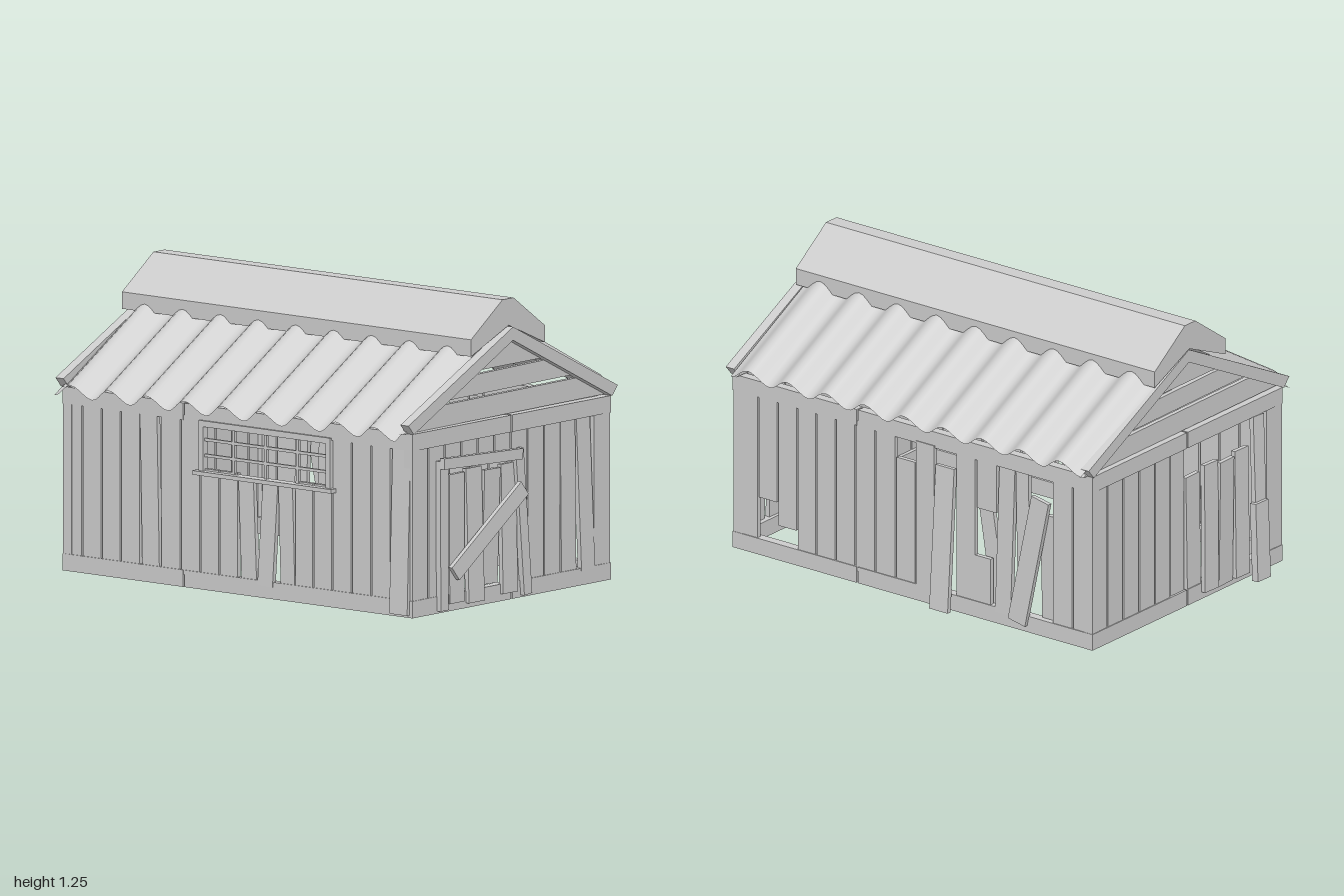
import * as THREE from 'three';

const mat = new THREE.MeshStandardMaterial({ color: 0xcccccc, flatShading: true });
const sheetMat = new THREE.MeshStandardMaterial({ color: 0xcccccc, side: THREE.DoubleSide });

function add(parent, name, geo, material = mat) {
  const m = new THREE.Mesh(geo, material);
  m.name = name;
  parent.add(m);
  return m;
}

// Plank in a wall's own frame: u along the wall, y up, outward is +z.
// tilt turns it in the wall plane, lean swings its foot outward.
function plank(wall, name, [u0, u1, y0, y1, tilt = 0, lean = 0, out = 0], thick = 0.02) {
  const m = add(wall, name, new THREE.BoxGeometry(u1 - u0, y1 - y0, thick));
  m.position.set((u0 + u1) / 2, (y0 + y1) / 2, out - thick / 2);
  m.rotation.set(-lean, 0, tilt);
  return m;
}

// Flat polygon given thickness along z
function slab(parent, name, pts, z0, z1) {
  const shape = new THREE.Shape(pts.map(p => new THREE.Vector2(...p)));
  const geo = new THREE.ExtrudeGeometry(shape, { depth: z1 - z0, bevelEnabled: false });
  geo.translate(0, 0, z0);
  return add(parent, name, geo);
}

// Wall with top and base rails, each split at u = split, and a list of planks
function makeWall(name, half, offset, angle, split, boards) {
  const wall = new THREE.Group();
  wall.name = name;
  wall.rotation.y = angle;
  wall.position.set(Math.sin(angle) * offset, 0, Math.cos(angle) * offset);
  for (const [a, b] of [[-half, split - 0.004], [split + 0.004, half]]) {
    plank(wall, 'baseRail', [a, b, 0.02, 0.09], 0.04);
    plank(wall, 'topRail', [a, b, 0.71, 0.78], 0.04);
  }
  for (const b of boards) plank(wall, 'wallBoard', b);
  return wall;
}

// Sound boards side by side between two positions
function row(u0, u1, n, y0 = 0.07, y1 = 0.73) {
  const w = (u1 - u0) / n;
  return Array.from({ length: n }, (_, i) =>
    [u0 + i * w + 0.004, u0 + (i + 1) * w - 0.004, y0, y1, 0, 0, -0.004]);
}

// Corrugated sheet running from near the ridge down to the eave
function roofSheet(side, x0, y0, x1, y1) {
  const n = 9, z0 = 0.89, z1 = -0.92;
  const geo = new THREE.PlaneGeometry(1, 1, 1, n * 10);
  const p = geo.attributes.position;
  for (let i = 0; i < p.count; i++) {
    const t = p.getX(i) + 0.5, v = 0.5 - p.getY(i);
    const wave = 0.026 * (-1 - Math.cos(v * n * Math.PI * 2));
    p.setXYZ(i, side * (x0 + (x1 - x0) * t + wave * 0.3),
      y0 + (y1 - y0) * t + wave, z0 + (z1 - z0) * v);
  }
  geo.computeVertexNormals();
  return geo;
}

export function createModel() {
  const g = new THREE.Group();
  g.name = 'shed';

  // Front wall with a doorway between x = -0.42 and 0
  const front = makeWall('frontWall', 0.628, 0.93, 0, 0, [
    ...row(-0.63, -0.42, 2), ...row(-0.42, 0, 4, 0.63, 0.73),
    ...row(0, 0.315, 3),
    [0.318, 0.412, 0.07, 0.73, 0.012, 0, -0.004],
    [0.432, 0.518, 0.08, 0.73, 0.03, 0.02, -0.004],
    ...row(0.525, 0.63, 1),
  ]);
  // Door planks, frame and the loose diagonal board
  for (const b of [
    [-0.4, -0.305, 0.05, 0.585, 0.004, 0, 0.005], [-0.29, -0.19, 0.04, 0.595, 0, 0.03, 0.008],
    [-0.18, -0.08, 0.1, 0.575, -0.015, -0.02, 0], [-0.07, 0.024, 0.05, 0.585, 0, 0.02, 0.008],
  ]) plank(front, 'doorPlank', b);
  plank(front, 'doorJamb', [-0.475, -0.425, 0.03, 0.65, 0.005, 0, 0.02], 0.025);
  plank(front, 'doorJamb', [0.03, 0.08, 0.03, 0.64, 0.09, 0, 0.02], 0.025);
  plank(front, 'doorLintel', [-0.48, 0.02, 0.61, 0.655, -0.04, 0, 0.045], 0.025);
  const brace = plank(front, 'doorBrace', [-0.44, 0.065, 0.295, 0.365, 0, 0, 0.045], 0.02);
  brace.rotation.set(0, -0.09, 0.66, 'YXZ');

  // Back wall (u = -x) with broken tops and one open bay
  const back = makeWall('backWall', 0.628, 0.93, Math.PI, 0, [
    ...row(-0.63, -0.105, 5),
    [-0.1, -0.01, 0.07, 0.73, 0, 0, -0.01],
    [0.0, 0.09, 0.07, 0.58, 0.02, 0, -0.004],
    [0.1, 0.19, 0.05, 0.6, -0.03, 0.03, 0.012],
    [0.2, 0.29, 0.04, 0.59, 0.02, -0.03, 0.012],
    [0.3, 0.39, 0.05, 0.6, -0.02, 0.03, 0.015],
    ...row(0.525, 0.63, 1),
  ]);
  plank(back, 'fallenPlank', [0.39, 0.475, 0.015, 0.35, -0.02, 0.05, 0.055], 0.03);
  plank(back, 'fallenPlank', [0.42, 0.49, 0.28, 0.71, -0.06, 0.08, 0.02], 0.02);

  // Left wall (u = -z), badly broken towards the back
  const left = makeWall('leftWall', 0.93, 0.63, Math.PI / 2, -0.285, [
    ...row(-0.93, -0.8, 1), [-0.796, -0.704, 0.27, 0.73, 0, 0, -0.004],
    [-0.696, -0.604, 0.17, 0.73, 0, 0, -0.004], ...row(-0.6, -0.3, 3),
    ...row(-0.3, -0.09, 2),
    [-0.085, 0.01, 0.07, 0.62, 0, 0, -0.004],
    [0.02, 0.115, 0.08, 0.72, 0, 0, 0.004],
    [0.12, 0.215, 0.02, 0.64, 0, 0.07, 0.022],
    ...row(0.22, 0.325, 1),
    [0.33, 0.43, 0.5, 0.73, 0, 0, -0.004], [0.31, 0.4, 0.07, 0.29, 0, 0, -0.004],
    [0.35, 0.42, 0.08, 0.57, 0.16, 0, -0.03],
    [0.435, 0.515, 0.07, 0.73, -0.02, 0.02, -0.004],
    [0.53, 0.595, 0.25, 0.73, 0.02, 0, -0.01],
    [0.56, 0.65, 0.05, 0.62, -0.2, 0.02, 0.01],
    [0.65, 0.715, 0.07, 0.55, 0, -0.03, -0.02],
    ...row(0.72, 0.93, 2),
  ]);

  // Right wall (u = z) with the barred window
  const right = makeWall('rightWall', 0.93, 0.63, -Math.PI / 2, -0.285, [
    ...row(-0.93, -0.52, 4), [-0.515, -0.425, 0.07, 0.73, 0.02, 0, -0.004],
    ...row(-0.41, -0.2, 2), ...row(-0.2, 0, 2, 0.07, 0.52),
    [0.01, 0.09, 0.07, 0.5, 0.04, 0, -0.004], [0.12, 0.2, 0.07, 0.5, -0.05, 0.02, 0],
    [0.22, 0.295, 0.07, 0.5, 0.03, 0, -0.004],
    ...row(0.3, 0.5, 2, 0.07, 0.52), ...row(0.5, 0.81, 3),
    [0.82, 0.915, 0.03, 0.71, 0, 0.03, 0.006],
  ]);
  const win = new THREE.Group();
  win.name = 'window';
  right.add(win);
  plank(win, 'windowSill', [-0.22, 0.52, 0.495, 0.512, 0, 0, 0.027], 0.05);
  plank(win, 'windowHead', [-0.2, 0.5, 0.695, 0.72, 0, 0, 0.01], 0.03);
  for (const u of [-0.2, 0.475]) plank(win, 'windowStile', [u, u + 0.025, 0.51, 0.7, 0, 0, 0.01], 0.03);
  for (const u of [-0.03, 0.14, 0.31]) plank(win, 'windowBar', [u, u + 0.015, 0.51, 0.7], 0.015);
  for (const y of [0.57, 0.635]) plank(win, 'windowCrossbar', [-0.19, 0.49, y, y + 0.012], 0.012);
  g.add(front, back, left, right);

  // Corner posts
  for (const x of [-0.606, 0.606]) for (const z of [-0.906, 0.906]) {
    add(g, 'cornerPost', new THREE.BoxGeometry(0.044, 0.75, 0.044)).position.set(x, 0.4, z);
  }

  // Gable ends: horizontal boards behind a pair of rafters
  for (const s of [1, -1]) {
    const gable = new THREE.Group();
    gable.name = s > 0 ? 'frontGable' : 'backGable';
    gable.rotation.y = s > 0 ? 0 : Math.PI;
    const w = y => (1.11 - y) / 0.5;
    for (const [a, b, d] of [[0.78, 0.875, 0.01], [0.885, 0.975, 0.012], [0.985, 1.1, 0]]) {
      slab(gable, 'gableBoard', [[-w(a), a], [w(a), a + d / 2], [w(b), b], [-w(b), b - d / 2]], 0.885, 0.905);
    }
    for (const k of [1, -1]) {
      slab(gable, 'rafter', [[0, 1.09], [k * 0.63, 0.78], [k * 0.665, 0.82], [0, 1.145]], 0.895, 0.938);
    }
    g.add(gable);
  }

  // Corrugated roof, the right slope sagging a little lower
  add(g, 'leftRoof', roofSheet(1, 0.04, 1.19, 0.71, 0.85), sheetMat);
  add(g, 'rightRoof', roofSheet(-1, 0.04, 1.2, 0.71, 0.805), sheetMat);

  // Ridge cap
  slab(g, 'ridgeCap', [[-0.24, 1.05], [0, 1.15], [0.23, 1.05], [0.23, 1.12],
    [0.03, 1.26], [-0.04, 1.26], [-0.24, 1.12]], -0.94, 0.915);
  return g;
}
